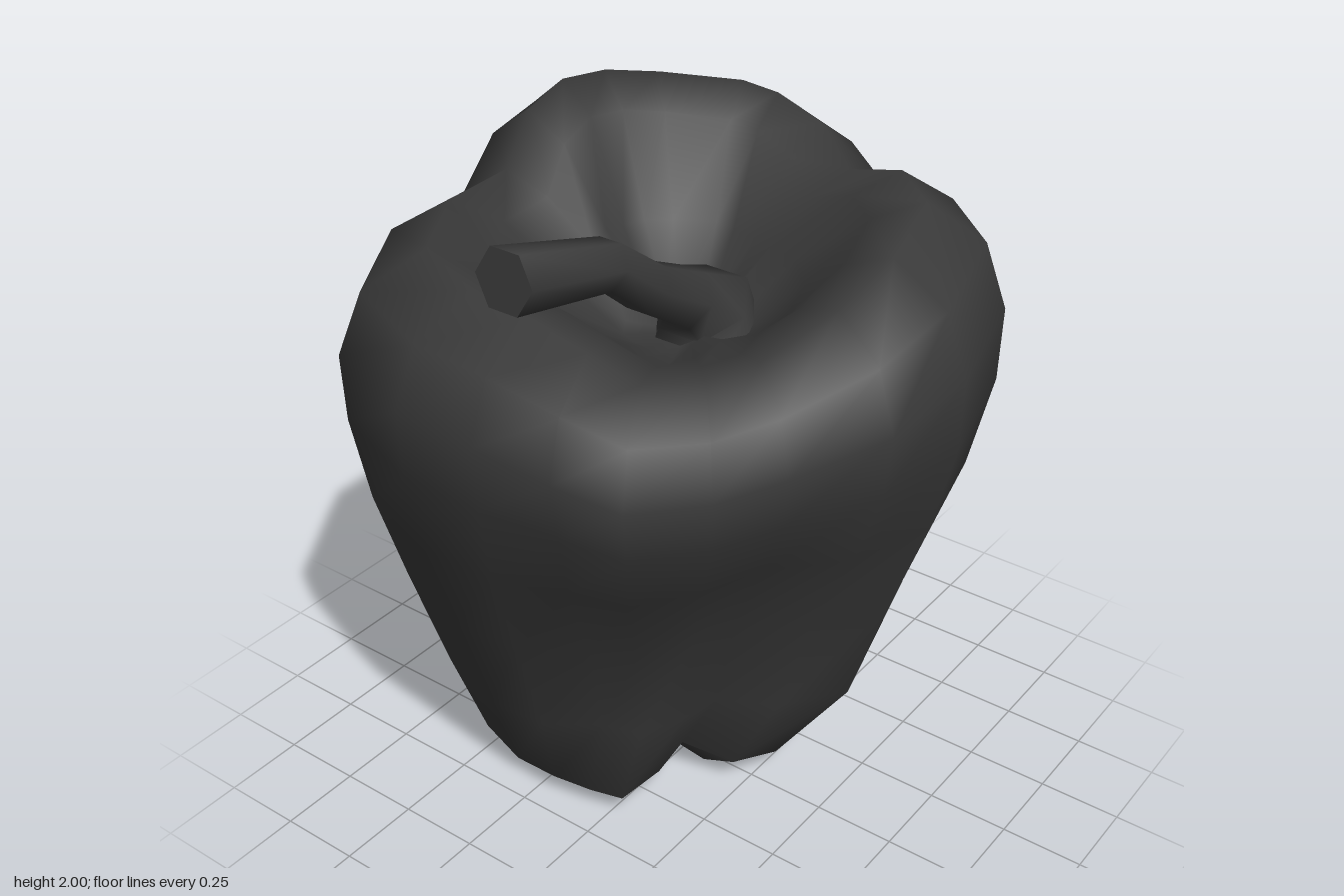
import * as THREE from 'three';
import { toCreasedNormals } from 'three/addons/utils/BufferGeometryUtils.js';

// Skin a stack of closed rings, closing both ends with a fan to a centre point.
function loft(rings, startPoint, endPoint) {
  const n = rings[0].length;
  const position = [...rings.flat(), startPoint, endPoint].flat();
  const start = rings.length * n, end = start + 1;
  const index = [];
  for (let i = 0; i < n; i++) {
    const k = (i + 1) % n;
    index.push(start, i, k);
    for (let j = 0; j < rings.length - 1; j++) {
      const a = j * n + i, b = j * n + k;
      index.push(a, a + n, b, b, a + n, b + n);
    }
    const top = (rings.length - 1) * n;
    index.push(end, top + k, top + i);
  }
  const geometry = new THREE.BufferGeometry();
  geometry.setAttribute('position', new THREE.Float32BufferAttribute(position, 3));
  geometry.setIndex(index);
  geometry.computeVertexNormals();
  return geometry;
}

// Widest outline: x, z, shoulder height, groove strength between the lobes
const outline = [
  [0.88, -0.2, 1.94, 0], [0.83, 0.04, 1.9, 0.3], [0.73, 0.24, 1.82, 1], [0.67, 0.5, 1.88, 0.5],
  [0.42, 0.75, 1.9, 0.1], [0.05, 0.84, 1.86, 0], [-0.23, 0.8, 1.79, 0.3], [-0.45, 0.64, 1.68, 1],
  [-0.64, 0.55, 1.67, 0.5], [-0.81, 0.41, 1.68, 0], [-0.86, 0.23, 1.74, 0], [-0.88, 0, 1.79, 0],
  [-0.88, -0.25, 1.81, 0], [-0.77, -0.56, 1.83, 0], [-0.42, -0.78, 1.83, 0], [-0.1, -0.78, 1.84, 0.9],
  [0.1, -0.83, 1.96, 0.6], [0.32, -0.84, 2, 0], [0.5, -0.77, 2, 0], [0.67, -0.63, 1.98, 0],
  [0.85, -0.35, 1.96, 0],
];

// How far a column belongs to the hollowed flank at the front, on the -x side
const flank = (x, z) => THREE.MathUtils.clamp((z - x - 0.85) / 0.25, 0, 1);

// Body levels: height, min x, max x, min z, max z, groove depth, flank hollowing
const levels = [
  [0.0, -0.3, 0.35, -0.55, 0.16, 0.4, 0],
  [0.08, -0.44, 0.5, -0.66, 0.3, 0.25, 0.02],
  [0.38, -0.55, 0.71, -0.76, 0.51, 0.13, 0.17],
  [0.75, -0.68, 0.81, -0.81, 0.63, 0.07, 0.16],
  [1.08, -0.8, 0.88, -0.83, 0.75, 0.04, 0.07],
];

// Shoulder and rim: share of the way to shoulder height, outline scale, flank hollowing
const shoulders = [
  [0.38, 0.99, 0.03], [0.64, 0.995, 0], [0.87, 0.92, 0], [1, 0.73, 0], [0.93, 0.56, 0],
];

function bodyGeometry() {
  const rings = levels.map(([y, x0, x1, z0, z1, depth, hollow], j) => outline.map(([x, z, , groove]) => {
    const s = 1 - depth * groove - hollow * flank(x, z);
    return [
      (x0 + x1) / 2 + (x / 0.88) * s * (x1 - x0) / 2,
      y + (j < 2 ? 0.07 * groove : 0),
      (z0 + z1) / 2 + (z / 0.84) * s * (z1 - z0) / 2,
    ];
  }));
  for (const [f, scale, hollow] of shoulders) {
    rings.push(outline.map(([x, z, h]) => {
      const s = scale - hollow * flank(x, z);
      return [x * s, 1.08 + (h - 1.08) * f, z * s];
    }));
  }
  // Hollow around the stem, with folds running inwards from the grooves
  rings.push(outline.map(([x, z, h, groove]) => [x * 0.37, 1.59 + (h - 1.8) * 0.4 + 0.06 * groove, z * 0.37]));
  rings.push(outline.map(([x, z, , groove]) => [x * 0.19, 1.5 + 0.04 * groove, z * 0.19]));
  return loft(rings, [0, 0.16, -0.2], [0, 1.48, 0]);
}

// Stem path: x, y, z, radius
const stemPath = [
  [0.03, 1.4, 0.04, 0.19], [0.02, 1.57, 0.04, 0.14], [-0.09, 1.64, 0.06, 0.09],
  [-0.28, 1.75, 0.08, 0.075], [-0.46, 1.89, 0.095, 0.07], [-0.725, 1.92, 0, 0.09],
];

function stemGeometry(sides = 6) {
  const rings = stemPath.map(([x, y, z, r], i) => {
    const a = stemPath[Math.max(i - 1, 0)], b = stemPath[Math.min(i + 1, stemPath.length - 1)];
    const length = Math.hypot(b[0] - a[0], b[1] - a[1]);
    const tx = (b[0] - a[0]) / length, ty = (b[1] - a[1]) / length;
    return Array.from({ length: sides }, (_, k) => {
      const t = (k / sides) * Math.PI * 2;
      const v = Math.sin(t) * r;
      return [x - ty * v, y + tx * v, z + Math.cos(t) * r];
    });
  });
  const [first, last] = [stemPath[0], stemPath[stemPath.length - 1]];
  return toCreasedNormals(loft(rings, first.slice(0, 3), last.slice(0, 3)), 1.2);
}

export function createModel() {
  const group = new THREE.Group();
  group.name = 'bellPepper';
  const material = new THREE.MeshStandardMaterial({ color: 0x3a3a3a });
  const body = new THREE.Mesh(bodyGeometry(), material);
  body.name = 'body';
  const stem = new THREE.Mesh(stemGeometry(), material);
  stem.name = 'stem';
  group.add(body, stem);
  return group;
}
